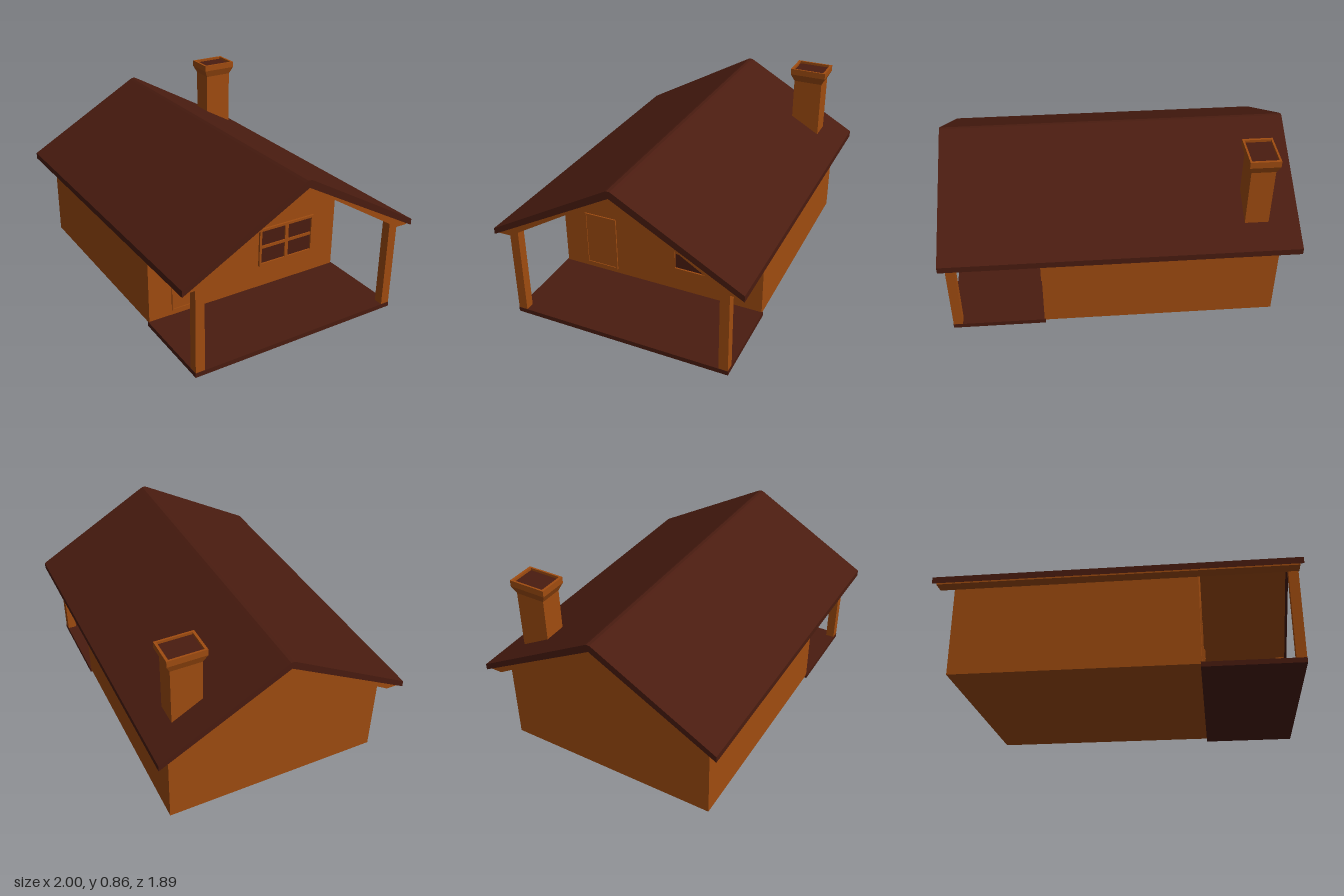
import * as THREE from 'three';

const brown = new THREE.MeshStandardMaterial({ color: 0xa04c10, flatShading: true });
const darkRed = new THREE.MeshStandardMaterial({ color: 0x4a1c10, flatShading: true });

export function createModel() {
  const model = new THREE.Group();
  model.name = 'cabin';
  // The cabin's long axis is local x; the whole building is turned on the ground.
  const house = new THREE.Group();
  house.name = 'house';
  house.rotation.y = -0.609;
  model.add(house);

  const add = (name, geometry, material) => {
    const mesh = new THREE.Mesh(geometry, material);
    mesh.name = name;
    house.add(mesh);
    return mesh;
  };
  const box = (name, x0, x1, y0, y1, z0, z1, material) => {
    const mesh = add(name, new THREE.BoxGeometry(x1 - x0, y1 - y0, z1 - z0), material);
    mesh.position.set((x0 + x1) / 2, (y0 + y1) / 2, (z0 + z1) / 2);
    return mesh;
  };
  // Extrudes a cross-section (z, y) along x from x0 to x1.
  const prism = (name, points, x0, x1, material) => {
    const shape = new THREE.Shape(points.map(([z, y]) => new THREE.Vector2(-z, y)));
    const geometry = new THREE.ExtrudeGeometry(shape, { depth: x1 - x0, bevelEnabled: false });
    geometry.rotateY(Math.PI / 2).translate(x0, 0, 0);
    return add(name, geometry, material);
  };

  // Walls with gable ends
  const wallX = 0.36;
  prism('walls', [[-0.519, 0.015], [0.519, 0.015], [0.519, 0.43], [0, 0.745], [-0.519, 0.43]],
    -0.724, wallX, brown);

  // Roof shell with a blunt ridge, and the boarded ceiling under it
  prism('roof', [[0.592, 0.42], [0.592, 0.45], [0.02, 0.772], [0.008, 0.778], [-0.008, 0.778],
    [-0.02, 0.772], [-0.592, 0.45], [-0.592, 0.42], [0, 0.745]], -0.805, 0.805, darkRed);
  prism('ceiling', [[0.578, 0.421], [0.578, 0.432], [0, 0.752], [-0.578, 0.432], [-0.578, 0.421],
    [-0.519, 0.422], [0, 0.738], [0.519, 0.422]], -0.79, 0.79, brown);

  // Porch deck and corner posts
  box('porchFloor', wallX - 0.005, 0.787, 0, 0.022, -0.524, 0.524, darkRed);
  for (const side of [1, -1]) {
    const post = box('porchPost', 0.743, 0.786, 0.02, 0.45, 0.48, 0.523, brown);
    post.position.z *= side;
  }

  // Rectangular frame on the porch wall
  const frame = (name, z0, z1, y0, y1, width, depth) => {
    const shape = new THREE.Shape([[-z1, y0], [-z0, y0], [-z0, y1], [-z1, y1]]
      .map(([a, b]) => new THREE.Vector2(a, b)));
    shape.holes.push(new THREE.Path([[-z1 + width, y0 + width], [-z1 + width, y1 - width],
      [-z0 - width, y1 - width], [-z0 - width, y0 + width]].map(([a, b]) => new THREE.Vector2(a, b))));
    const geometry = new THREE.ExtrudeGeometry(shape, { depth, bevelEnabled: false });
    geometry.rotateY(Math.PI / 2).translate(wallX, 0, 0);
    add(name, geometry, brown);
  };

  // Door
  frame('doorFrame', 0.233, 0.403, 0.045, 0.33, 0.008, 0.007);
  box('door', wallX - 0.005, wallX + 0.003, 0.05, 0.324, 0.24, 0.396, brown);

  // Window with four panes
  frame('windowFrame', -0.385, -0.07, 0.137, 0.335, 0.012, 0.01);
  box('windowPanes', wallX - 0.005, wallX + 0.002, 0.145, 0.327, -0.377, -0.078, darkRed);
  box('windowMullion', wallX, wallX + 0.008, 0.145, 0.327, -0.237, -0.218, brown);
  box('windowCrossbar', wallX, wallX + 0.008, 0.23, 0.244, -0.377, -0.078, brown);

  // Chimney: shaft, flared cap with a thin rim and a sunken flue.
  // A four-sided lathe gives square rings that are then stretched to a rectangle.
  const r = Math.SQRT1_2;
  const profile = [[0.8, 0.4], [0.8, 0.795], [1, 0.832], [1, 0.862], [0.87, 0.862], [0.87, 0.845]]
    .map(([s, y]) => new THREE.Vector2(s * r, y));
  const chimney = new THREE.LatheGeometry(profile, 4, Math.PI / 4).toNonIndexed();
  chimney.scale(0.135, 1, 0.178);
  chimney.computeVertexNormals();
  add('chimney', chimney, brown).position.set(-0.612, 0, -0.402);
  box('chimneyFlue', -0.671, -0.553, 0.835, 0.85, -0.48, -0.324, darkRed);

  return model;
}
